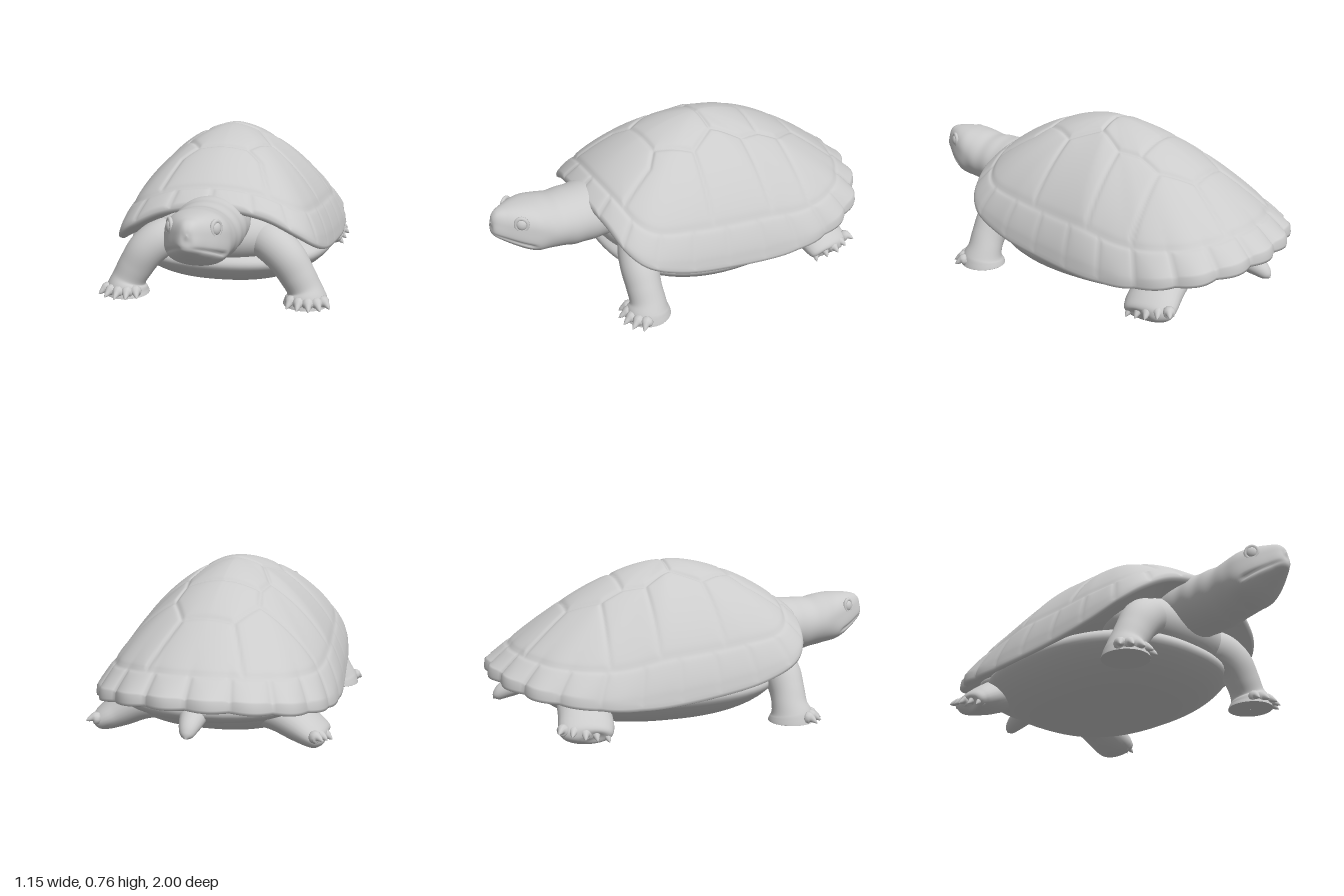
import * as THREE from 'three';

const material = new THREE.MeshStandardMaterial({ color: 0xcccccc, roughness: 0.8 });
const V = (x, y, z) => new THREE.Vector3(x, y, z);
const { smoothstep, clamp, lerp } = THREE.MathUtils;

function addMesh(parent, name, geometry) {
  const mesh = new THREE.Mesh(geometry, material);
  mesh.name = name;
  parent.add(mesh);
  return mesh;
}

// Smooth grid surface, closed around its columns; fn(row, column) gives a point
function surface(rows, cols, fn) {
  const pos = [], index = [];
  for (let i = 0; i <= rows; i++)
    for (let j = 0; j < cols; j++) pos.push(...fn(i, j).toArray());
  for (let i = 0; i < rows; i++)
    for (let j = 0; j < cols; j++) {
      const k = (j + 1) % cols;
      const a = i * cols + j, b = i * cols + k, c = b + cols, d = a + cols;
      index.push(a, d, c, a, c, b);
    }
  const g = new THREE.BufferGeometry();
  g.setAttribute('position', new THREE.Float32BufferAttribute(pos, 3));
  g.setIndex(index);
  g.computeVertexNormals();
  return g;
}

// Loft of elliptical sections [x, y, z, rx, ry] along a smooth path
function loft(sections, ref, rows, cols, modify = (p) => p) {
  const path = new THREE.CatmullRomCurve3(sections.map((s) => V(s[0], s[1], s[2])), false, 'catmullrom');
  const size = new THREE.CatmullRomCurve3(sections.map((s) => V(s[3], s[4], 0)), false, 'catmullrom');
  return surface(rows, cols, (i, j) => {
    const c = path.getPoint(i / rows), t = path.getTangent(i / rows), r = size.getPoint(i / rows);
    const side = ref.clone().cross(t).normalize(), up = t.clone().cross(side);
    const a = -j / cols * Math.PI * 2;
    const p = c.clone().addScaledVector(side, Math.cos(a) * Math.max(r.x, 0.001))
      .addScaledVector(up, Math.sin(a) * Math.max(r.y, 0.001));
    return modify(p, c, r);
  });
}

// Seams between the large scutes, as [|x|, z] polylines
const seams = [
  [[0.25, 0.43], [0.19, 0.26], [0.12, 0.2], [0.21, 0.03], [0.13, -0.11], [0.2, -0.25],
    [0.18, -0.36], [0.2, -0.47], [0.12, -0.62], [0.22, -0.85]],
  [[0.12, 0.2], [0, 0.2]], [[0.13, -0.11], [0, -0.11]], [[0.18, -0.36], [0, -0.37]], [[0.12, -0.62], [0, -0.62]],
  [[0.21, 0.03], [0.55, 0.08]], [[0.2, -0.25], [0.58, -0.26]], [[0.2, -0.47], [0.57, -0.5]],
];

function seamDistance(x, z) {
  let best = 1;
  for (const line of seams)
    for (let i = 1; i < line.length; i++) {
      const [ax, az] = line[i - 1], dx = line[i][0] - ax, dz = line[i][1] - az;
      const t = clamp(((x - ax) * dx + (z - az) * dz) / (dx * dx + dz * dz), 0, 1);
      best = Math.min(best, Math.hypot(x - ax - t * dx, z - az - t * dz));
    }
  return best;
}

// Domed shell: rings shrink from the rim to the crown, then a lip turns under and closes below
function shellGeometry() {
  const half = [[0.24, 0.425, 0.53], [0.395, 0.34, 0.49], [0.465, 0.28, 0.42], [0.508, 0.215, 0.25], [0.535, 0.17, 0],
    [0.56, 0.145, -0.3], [0.555, 0.15, -0.5], [0.53, 0.17, -0.65], [0.45, 0.195, -0.81], [0.33, 0.215, -0.91], [0.18, 0.23, -0.975]];
  const loop = [V(0, 0.465, 0.55), ...half.map((p) => V(...p)), V(0, 0.235, -1.0),
    ...half.slice().reverse().map(([x, y, z]) => V(-x, y, z))];
  const cols = 312, rows = 100, z0 = -0.1, border = 0.875, marginals = 24;
  const rim = new THREE.CatmullRomCurve3(loop, true, 'centripetal').getSpacedPoints(cols);
  const lip = [[1.006, 0.02], [1.003, 0.006], [0.985, 0], [0.95, 0.008], [0.9, 0.018], [0.8, 0.022], [0.5, 0.03], [0.01, 0.02]];
  return surface(rows + lip.length, cols, (i, j) => {
    const R = rim[j], reach = Math.hypot(R.x, R.z - z0), side = Math.abs(R.x) / reach;
    const back = smoothstep((z0 - R.z) / reach, 0.2, 0.95), front = smoothstep((R.z - z0) / reach, 0.5, 0.95);
    const lobe = Math.abs(Math.sin(Math.PI * marginals * j / cols));
    const scallop = 1 - 0.03 * back * (1 - lobe);
    if (i > rows) {
      const [r, dy] = lip[i - rows - 1];
      const y = lerp(R.y, 0.25, Math.max(0, 1 - r)) + dy;
      return V(R.x * r * scallop, y, z0 + (R.z - z0) * r * scallop);
    }
    const u = i / rows, k = u * (1 + (scallop - 1) * u ** 10);
    const x = R.x * k, z = z0 + (R.z - z0) * k, base = R.y + 0.035 + 0.02 * back;
    const dome = Math.pow(Math.max(0, 1 - Math.pow(u, 1.9 - 0.2 * back - 0.27 * side)),
      0.8 + 0.28 * back + 0.17 * front - 0.13 * side);
    // groove depth from the nearest seam
    let d = Math.abs(u - border) * reach;
    if (u < border) d = Math.min(d, seamDistance(Math.abs(x), z));
    else d = Math.min(d, Math.asin(lobe) / Math.PI * 3.9 / marginals);
    const groove = 0.007 * Math.exp(-((d / 0.01) ** 2)) + 0.005 * Math.exp(-d / 0.03);
    return V(x, base + (0.76 - base) * dome - groove + 0.002, z);
  });
}

// Flat-bottomed belly plate with a rounded-rectangle outline, rising to the shell
function bellyGeometry() {
  const profile = new THREE.SplineCurve([[0.001, 0.3], [0.6, 0.28], [0.92, 0.22], [1, 0.17], [0.92, 0.11], [0.78, 0.058],
    [0.6, 0.02], [0.4, 0.004], [0.001, 0]].map((p) => new THREE.Vector2(...p))).getPoints(40);
  return surface(40, 80, (i, j) => {
    const a = j / 80 * Math.PI * 2, s = Math.sin(a), c = Math.cos(a);
    const k = profile[i].x * Math.pow(Math.abs(s) ** 2.4 + Math.abs(c) ** 2.4, -1 / 2.4);
    return V(s * k * 0.53, profile[i].y, c * k * 0.63 - 0.17);
  });
}

// Head and neck in one piece: squarish flat-topped head, mouth groove and neck folds
function headGeometry() {
  const sections = [[0, 0.38, 0.3, 0.17, 0.14], [0, 0.385, 0.5, 0.168, 0.14], [0, 0.385, 0.6, 0.163, 0.14],
    [0, 0.395, 0.7, 0.156, 0.13], [0, 0.418, 0.8, 0.145, 0.124], [0, 0.441, 0.88, 0.114, 0.104],
    [0, 0.46, 0.945, 0.07, 0.08], [0, 0.475, 0.987, 0.034, 0.052], [0, 0.478, 1.0, 0.001, 0.001]];
  return loft(sections, V(0, 1, 0), 110, 96, (p, c, r) => {
    const head = smoothstep(p.z, 0.72, 0.84);
    const nx = Math.abs(p.x) / Math.max(r.x, 0.001), h = (p.y - c.y) / Math.max(r.y, 0.001);
    const square = lerp(1, Math.pow(nx ** 3 + Math.abs(h) ** 3, -1 / 3), head);
    const fold = (1 - head) * 0.01 * Math.sin(p.z * 62);
    p.x *= square * (1 + head * (0.02 - 0.08 * smoothstep(h, 0.2, 1)));
    p.y = c.y + (p.y - c.y) * lerp(1, square, 0.6) * (1 + fold);
    const mouthY = 0.425 - 0.4 * (1 - p.z) - 0.25 * p.x * p.x;
    const mouth = smoothstep(p.z, 0.82, 0.86) * 0.1 * Math.exp(-(((p.y - mouthY) / 0.008) ** 2));
    return V(p.x * (1 + fold - mouth), p.y, p.z);
  });
}

const flatSole = (p) => { p.y = Math.max(p.y, 0); return p; };

// Rounded toe tapering into a pointed claw
function addToe(parent, from, to, r) {
  const at = (t, k, lift) => {
    const p = from.clone().lerp(to, t);
    return [p.x, p.y + lift, p.z, r * k, r * k];
  };
  const sections = [at(-0.3, 0.05, 0), at(0, 1, 0), at(0.35, 1, 0.006), at(0.55, 0.6, 0.006), at(0.8, 0.35, 0), at(1, 0.03, -0.004)];
  addMesh(parent, 'toe', loft(sections, V(0, 1, 0), 14, 10, flatSole));
}

function frontLeg(s) {
  const leg = new THREE.Group();
  leg.name = s > 0 ? 'leftFrontLeg' : 'rightFrontLeg';
  const sections = [[0.18, 0.29, 0.3, 0.09, 0.1], [0.26, 0.275, 0.37, 0.095, 0.1], [0.335, 0.22, 0.405, 0.093, 0.095],
    [0.39, 0.14, 0.415, 0.086, 0.086], [0.425, 0.075, 0.415, 0.083, 0.088], [0.435, 0.03, 0.42, 0.1, 0.105],
    [0.437, -0.02, 0.42, 0.1, 0.105], [0.439, -0.03, 0.42, 0.001, 0.001]].map(([x, ...rest]) => [x * s, ...rest]);
  addMesh(leg, 'limb', loft(sections, V(0, 0, 1), 44, 28, flatSole));
  for (let i = 0; i < 5; i++) {
    const a = -0.65 + i * 0.4, c = Math.cos(a), d = Math.sin(a);
    addToe(leg, V(s * (0.437 + d * 0.095), 0.03, 0.415 + c * 0.085), V(s * (0.442 + d * 0.14), 0.012, 0.42 + c * 0.148), 0.028);
  }
  return leg;
}

function hindLeg(s) {
  const leg = new THREE.Group();
  leg.name = s > 0 ? 'leftHindLeg' : 'rightHindLeg';
  const sections = [[0.2, 0.18, -0.6, 0.1, 0.1], [0.32, 0.15, -0.6, 0.09, 0.115], [0.42, 0.1, -0.6, 0.08, 0.125],
    [0.49, 0.065, -0.61, 0.065, 0.125], [0.53, 0.045, -0.615, 0.045, 0.1], [0.54, 0.04, -0.615, 0.001, 0.001]]
    .map(([x, ...rest]) => [x * s, ...rest]);
  addMesh(leg, 'limb', loft(sections, V(0, 0, 1), 36, 28, flatSole));
  for (let i = 0; i < 5; i++) {
    const z = -0.53 - i * 0.046, bow = 0.012 * (2 - Math.abs(i - 2));
    addToe(leg, V(s * (0.5 + bow), 0.045 + i * 0.008, z), V(s * (0.55 + bow), 0.018 + i * 0.015, z - 0.01 + (2 - i) * 0.012), 0.027);
  }
  return leg;
}

// Eyeball with a rounded lid ring
function eye(s) {
  const group = new THREE.Group();
  group.name = s > 0 ? 'leftEye' : 'rightEye';
  group.position.set(s * 0.1, 0.482, 0.885);
  group.lookAt(s * 1.0, 0.53, 1.4);
  const ball = addMesh(group, 'eyeball', new THREE.SphereGeometry(0.026, 20, 14));
  ball.scale.set(1, 1.1, 0.65);
  const lid = addMesh(group, 'eyelid', new THREE.TorusGeometry(0.028, 0.009, 10, 28));
  lid.scale.set(1, 1.15, 1);
  return group;
}

export function createModel() {
  const turtle = new THREE.Group();
  turtle.name = 'turtle';
  addMesh(turtle, 'shell', shellGeometry());
  addMesh(turtle, 'belly', bellyGeometry());

  // Soft skin filling the front opening and the rear
  const chest = addMesh(turtle, 'chest', new THREE.SphereGeometry(1, 48, 32));
  chest.scale.set(0.38, 0.16, 0.23);
  chest.position.set(0, 0.3, 0.25);
  const rump = addMesh(turtle, 'rump', new THREE.SphereGeometry(1, 40, 28));
  rump.scale.set(0.44, 0.1, 0.29);
  rump.position.set(0, 0.2, -0.59);

  addMesh(turtle, 'headAndNeck', headGeometry());
  const tail = [[0, 0.2, -0.65, 0.1, 0.08], [0, 0.19, -0.8, 0.07, 0.06], [0, 0.155, -0.9, 0.05, 0.045],
    [0, 0.125, -0.95, 0.03, 0.027], [0, 0.11, -0.97, 0.001, 0.001]];
  addMesh(turtle, 'tail', loft(tail, V(0, 1, 0), 24, 20));

  for (const s of [1, -1]) turtle.add(frontLeg(s), hindLeg(s), eye(s));
  return turtle;
}
